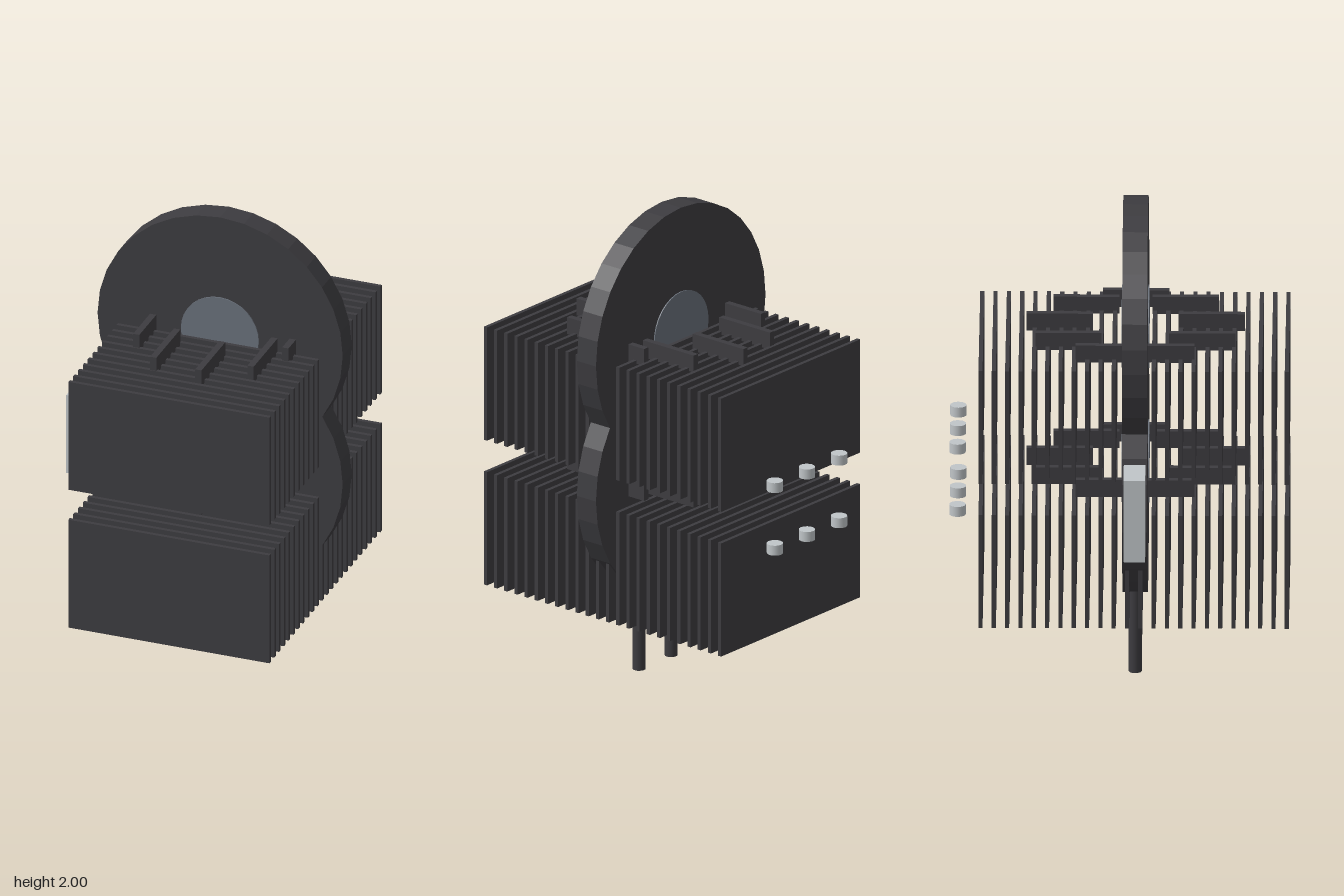
import * as THREE from 'three';

const CX = 0.067, CZ = 0.0625; // shared centre of the fins and discs

export function createModel() {
  const model = new THREE.Group();
  const dark = new THREE.MeshStandardMaterial({ color: 0x3d3c40 });
  const metal = new THREE.MeshStandardMaterial({ color: 0xc0c5c8 });
  const slate = new THREE.MeshStandardMaterial({ color: 0x69707a });
  dark.name = 'dark casing';
  metal.name = 'bright metal';
  slate.name = 'slate hub';

  const add = (name, geometry, material, x, y, z) => {
    const mesh = new THREE.Mesh(geometry, material);
    mesh.name = name;
    mesh.position.set(x, y, z);
    model.add(mesh);
  };

  // Faceted disc facing the front
  const disc = (radius, depth) => {
    const g = new THREE.CylinderGeometry(radius, radius, depth, 32).rotateX(Math.PI / 2).toNonIndexed();
    g.computeVertexNormals();
    return g;
  };

  // Two cooling stacks of thin plates
  const fin = new THREE.BoxGeometry(0.894, 0.503, 0.017);
  for (const y of [0.537, 1.18]) {
    for (let i = 0; i < 24; i++) add('coolingFin', fin, dark, CX, y, -0.577 + i * 0.0552);
  }

  // Fan discs with hubs, and a ring of nine upright blades above each stack
  const fan = disc(0.545, 0.104);
  const hub = disc(0.173, 0.114);
  const blade = new THREE.BoxGeometry(0.028, 0.075, 0.275);
  for (const y of [0.855, 1.455]) {
    add('fanDisc', fan, dark, CX, y, CZ);
    add('fanHub', hub, slate, CX, y, CZ);
    for (let i = 0; i < 9; i++) {
      const a = (i * Math.PI * 2) / 9;
      add('fanBlade', blade, dark, 0.07 + 0.32 * Math.cos(a), y, CZ + 0.32 * Math.sin(a));
    }
  }

  // Legs below, short metal pins behind
  const leg = new THREE.CylinderGeometry(0.027, 0.027, 0.4, 16);
  const pin = new THREE.CylinderGeometry(0.034, 0.034, 0.044, 20);
  for (const x of [-0.14, 0.067, 0.273]) {
    add('leg', leg, dark, x, 0.2, CZ);
    for (const y of [0.72, 0.998]) add('rearPin', pin, metal, x, y, -0.674);
  }

  // Metal block on the side of the lower disc
  add('sideBlock', new THREE.BoxGeometry(0.27, 0.363, 0.09), metal, -0.485, 0.858, CZ);

  return model;
}
